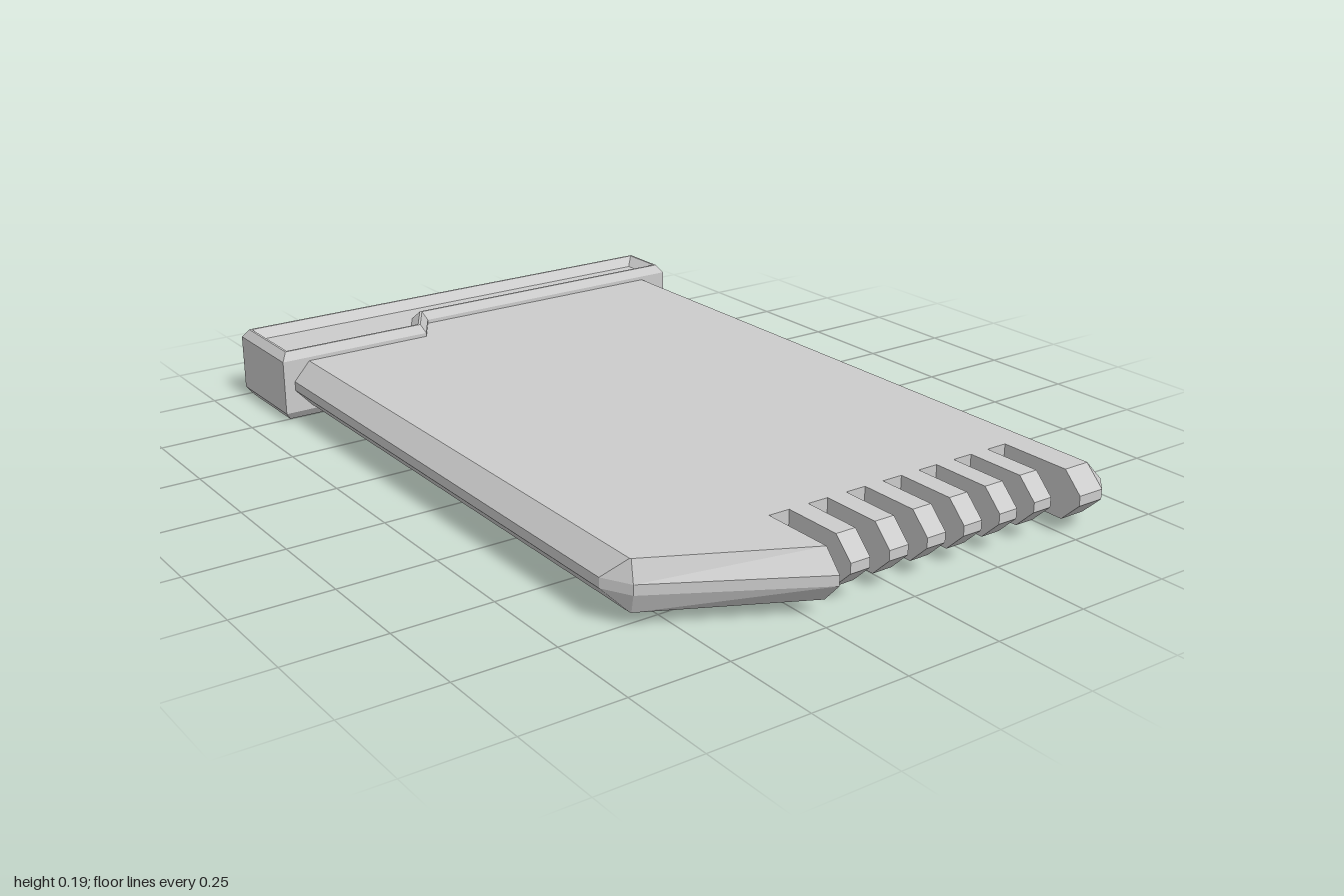
import * as THREE from 'three';

// Stack of matching rings ([x, z] points, running +x along the front), closed at both ends.
function loft(name, rings) {
  const pos = [];
  const put = (ring, i) => {
    const p = ring.pts[i % ring.pts.length];
    pos.push(p[0], ring.y, p[1]);
  };
  for (let k = 0; k < rings.length - 1; k++) {
    const a = rings[k], b = rings[k + 1];
    for (let i = 0; i < a.pts.length; i++) {
      put(a, i); put(a, i + 1); put(b, i + 1);
      put(a, i); put(b, i + 1); put(b, i);
    }
  }
  const close = (ring, order) => {
    const flat = ring.pts.map(([x, z]) => new THREE.Vector2(x, -z));
    for (const f of THREE.ShapeUtils.triangulateShape(flat, [])) order.forEach((j) => put(ring, f[j]));
  };
  close(rings[0], [0, 2, 1]);
  close(rings[rings.length - 1], [0, 1, 2]);
  const geo = new THREE.BufferGeometry();
  geo.setAttribute('position', new THREE.Float32BufferAttribute(pos, 3));
  geo.computeVertexNormals();
  const mesh = new THREE.Mesh(geo, new THREE.MeshStandardMaterial({ color: 0xcccccc, flatShading: true }));
  mesh.name = name;
  return mesh;
}

// Mitred inward offset of an outline.
function inset(pts, d) {
  const n = pts.length;
  const normal = (a, b) => {
    const dx = b[0] - a[0], dz = b[1] - a[1], l = Math.hypot(dx, dz);
    return [dz / l, -dx / l];
  };
  return pts.map((p, i) => {
    const u = normal(pts[(i + n - 1) % n], p), v = normal(p, pts[(i + 1) % n]);
    const s = d / (1 + u[0] * v[0] + u[1] * v[1]);
    return [p[0] + (u[0] + v[0]) * s, p[1] + (u[1] + v[1]) * s];
  });
}

export function createModel() {
  const group = new THREE.Group();
  group.name = 'cartridge';

  // Card: widest outline at mid height, narrower outline on the two flat faces
  const mid = [], face = [];
  const add = (x, z, fx = x, fz = z) => { mid.push([x, z]); face.push([fx, fz]); };
  add(-0.625, -0.9, -0.58, -0.9);
  add(-0.625, 0.715, -0.581, 0.763);
  add(-0.587, 0.785, -0.579, 0.766);
  add(-0.213, 0.995, -0.213, 0.95);
  add(-0.213, 0.76);
  // Contact fingers between the slots
  for (let i = 0; i < 6; i++) {
    const x0 = -0.157 + i * 0.1095, x1 = x0 + 0.054;
    add(x0, 0.76);
    add(x0, 0.965, x0, 0.915);
    add(x1, 0.965, x1, 0.915);
    add(x1, 0.76);
  }
  add(0.502, 0.76);
  add(0.502, 1, 0.502, 0.95);
  add(0.575, 1, 0.574, 0.95);
  add(0.62, 0.955, 0.575, 0.949);
  add(0.62, -0.9, 0.575, -0.9);
  group.add(loft('card', [
    { y: 0.034, pts: face }, { y: 0.083, pts: mid },
    { y: 0.108, pts: mid }, { y: 0.158, pts: face },
  ]));

  // End cap: stepped front edge, bevelled rim and shallow recess on both faces
  const cap = [
    [-0.655, -1], [-0.655, -0.735], [-0.225, -0.735],
    [-0.165, -0.835], [0.655, -0.835], [0.655, -1],
  ];
  const half = [[0.045, 0.025], [0.022, 0], [0.016, 0], [0, 0.022]];
  const lower = half.map(([d, y]) => ({ y, pts: inset(cap, d) }));
  const upper = half.map(([d, y]) => ({ y: 0.19 - y, pts: inset(cap, d) })).reverse();
  group.add(loft('endCap', [...lower, ...upper]));

  return group;
}
